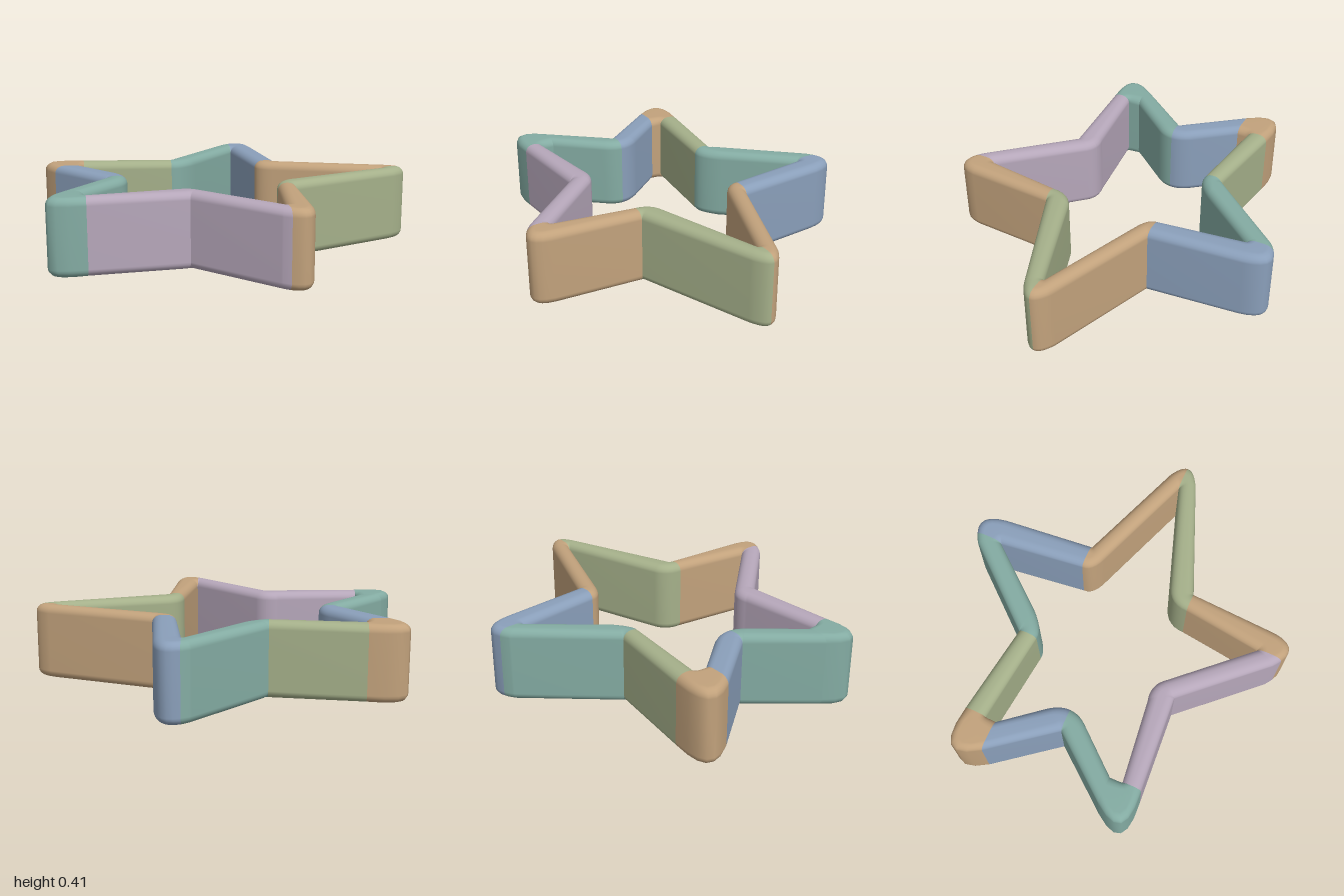
import * as THREE from 'three';

const HEIGHT = 0.41;   // wall height
const ROUND = 0.05;    // rim rounding
const STEPS = 5;       // facets per rounded rim corner
const BEND = 7;        // stations along each rounded bend

// Rounded wall section of width w, as [distance from inner side, y], counter-clockwise
function wallSection(w) {
  const rx = Math.min(ROUND, w * 0.45), ry = ROUND * 0.85, pts = [];
  const centres = [[w - rx, ry], [w - rx, HEIGHT - ry], [rx, HEIGHT - ry], [rx, ry]];
  centres.forEach(([cx, cy], k) => {
    for (let i = 0; i <= STEPS; i++) {
      const a = (k - 1 + i / STEPS) * Math.PI / 2;
      pts.push([cx + rx * Math.cos(a), cy + ry * Math.sin(a)]);
    }
  });
  return pts;
}

// Loft of the section through stations, each with an outer and an inner plan point
function wallGeometry(stations) {
  const pos = [], index = [], n = 4 * (STEPS + 1);
  stations.forEach(({ outer, inner }, s) => {
    const w = outer.distanceTo(inner);
    for (const [d, y] of wallSection(w)) {
      const p = inner.clone().lerp(outer, d / w);
      pos.push(p.x, y, p.y);
    }
    if (s === 0) return;
    for (let j = 0; j < n; j++) {
      const k = (j + 1) % n, a = (s - 1) * n, b = s * n;
      index.push(a + j, b + j, a + k, b + j, b + k, a + k);
    }
  });
  const g = new THREE.BufferGeometry();
  g.setAttribute('position', new THREE.Float32BufferAttribute(pos, 3));
  g.setIndex(index);
  g.computeVertexNormals();
  return g;
}

// A bend: one side turns about a sharp pivot, the other follows a curve (plan x, z)
function bend(isTip, pivot, start, control, end, pivotEnd = pivot) {
  const v = (p) => new THREE.Vector2(...p);
  const curve = new THREE.QuadraticBezierCurve(v(start), v(control), v(end));
  return (t) => {
    const round = curve.getPoint(t), sharp = v(pivot).lerp(v(pivotEnd), t);
    return isTip ? { outer: round, inner: sharp } : { outer: sharp, inner: round };
  };
}

// Stations of a bend between two fractions of its curve
function arc(corner, from, to) {
  if (from === to) return [corner(from)];
  return Array.from({ length: BEND }, (_, i) => corner(from + (to - from) * i / (BEND - 1)));
}

export function createModel() {
  const mat = (name, color) => {
    const m = new THREE.MeshStandardMaterial({ color });
    m.name = name;
    return m;
  };
  const tan = mat('tan', 0xc2a27c), blue = mat('blue', 0x8a9fba), teal = mat('teal', 0x84aca3);
  const green = mat('green', 0xa5b08a), lilac = mat('lilac', 0xb6a7ba);

  // Tips and valleys in turn, from the +x tip towards the back
  const rightTip = bend(true, [0.86, 0], [0.92, 0.08], [1.08, 0], [0.92, -0.08]);
  const backRightValley = bend(false, [0.33, -0.294], [0.29, -0.203], [0.2, -0.235], [0.2, -0.294]);
  const backTip = bend(true, [0.14, -0.76], [0.28, -0.8], [0.25, -1], [0.09, -0.88]);
  const backLeftValley = bend(false, [-0.28, -0.444], [-0.13, -0.43], [-0.22, -0.33], [-0.28, -0.34]);
  const backLeftTip = bend(true, [-0.78, -0.39], [-0.78, -0.51], [-1.105, -0.555], [-0.945, -0.33], [-0.78, -0.33]);
  const leftValley = bend(false, [-0.685, 0], [-0.61, -0.125], [-0.51, 0], [-0.615, 0.11]);
  const frontLeftTip = bend(true, [-0.8, 0.33], [-0.945, 0.33], [-1.105, 0.54], [-0.8, 0.505], [-0.8, 0.4]);
  const frontLeftValley = bend(false, [-0.28, 0.465], [-0.35, 0.342], [-0.27, 0.32], [-0.22, 0.37]);
  const frontTip = bend(true, [0.145, 0.76], [0.1, 0.87], [0.25, 0.99], [0.275, 0.82]);
  const frontRightValley = bend(false, [0.3, 0.33], [0.2, 0.33], [0.2, 0.235], [0.28, 0.2]);

  const group = new THREE.Group();
  group.name = 'starRing';
  const add = (name, material, stations) => {
    const mesh = new THREE.Mesh(wallGeometry(stations), material);
    mesh.name = name;
    group.add(mesh);
  };
  // Straight wall with the part of the bend at either end that shares its colour
  const wall = (name, material, a, from, b, to) =>
    add(name, material, [...arc(a, from, 1), ...arc(b, 0, to)]);

  wall('rightTipBackWall', tan, rightTip, 0.5, backRightValley, 1);
  wall('backTipRightWall', blue, backRightValley, 1, backTip, 0.83);
  wall('backTipLeftWall', teal, backTip, 0.83, backLeftValley, 1);
  wall('backLeftTipInnerWall', green, backLeftValley, 1, backLeftTip, 0);
  add('backLeftTip', tan, arc(backLeftTip, 0, 1));
  wall('backLeftTipSideWall', blue, backLeftTip, 1, leftValley, 0.5);
  wall('frontLeftTipSideWall', teal, leftValley, 0.5, frontLeftTip, 0);
  add('frontLeftTip', teal, arc(frontLeftTip, 0, 1));
  wall('frontLeftTipInnerWall', lilac, frontLeftTip, 1, frontLeftValley, 0.5);
  wall('frontTipLeftWall', lilac, frontLeftValley, 0.5, frontTip, 0.16);
  wall('frontTipRightWall', tan, frontTip, 0.16, frontRightValley, 0);
  wall('rightTipFrontWall', green, frontRightValley, 0, rightTip, 0.5);
  return group;
}
